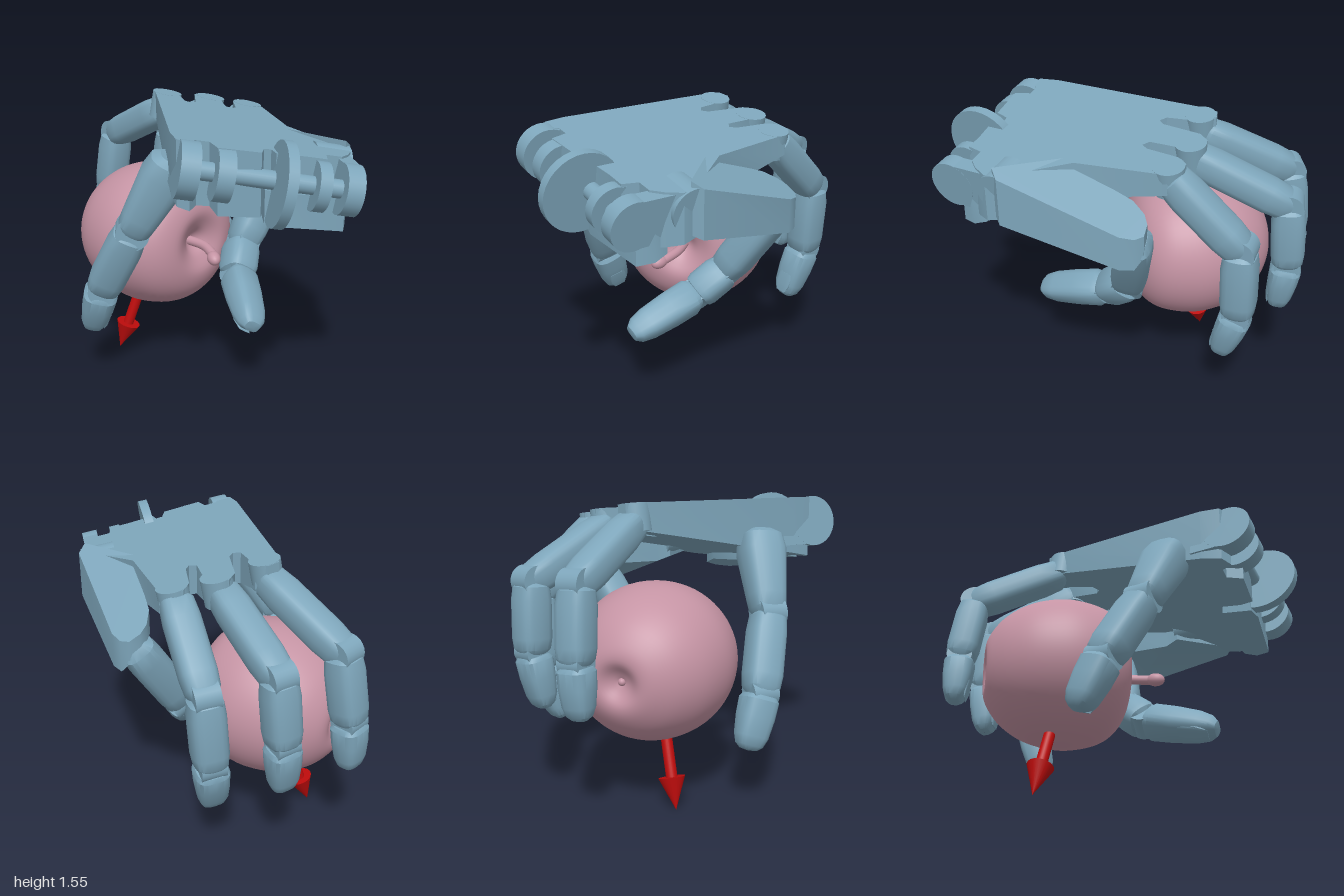
import * as THREE from 'three';
import { toCreasedNormals } from 'three/addons/utils/BufferGeometryUtils.js';

const V = (x, y, z) => new THREE.Vector3(x, y, z);
const handMat = new THREE.MeshStandardMaterial({ color: 0x7ea6bb });
const fruitMat = new THREE.MeshStandardMaterial({ color: 0xc594a4 });
const arrowMat = new THREE.MeshStandardMaterial({ color: 0xc00c0c });

function mesh(name, geo, mat = handMat) {
  const m = new THREE.Mesh(geo, mat);
  m.name = name;
  return m;
}

// Aim a mesh's +y axis along a direction
function aim(m, pos, dir) {
  m.position.copy(pos);
  m.quaternion.setFromUnitVectors(V(0, 1, 0), dir.clone().normalize());
  return m;
}

// Loft of rounded-rectangle rings from a to b; ring = [t, half width, half thickness]
function loft(a, b, side, rings, n = 20) {
  const T = b.clone().sub(a).normalize();
  const X = side.clone().addScaledVector(T, -side.dot(T)).normalize();
  const Y = T.clone().cross(X);
  const soft = v => Math.sign(v) * Math.abs(v) ** 0.65;
  const pos = [], idx = [];
  rings.forEach(([t, w, h], j) => {
    const c = a.clone().lerp(b, t);
    for (let i = 0; i < n; i++) {
      const q = (i / n) * Math.PI * 2;
      const p = c.clone().addScaledVector(X, w * soft(Math.cos(q))).addScaledVector(Y, h * soft(Math.sin(q)));
      pos.push(p.x, p.y, p.z);
      if (j < rings.length - 1) {
        const k = j * n + i, l = j * n + (i + 1) % n;
        idx.push(k, l, l + n, k, l + n, k + n);
      }
    }
  });
  const g = new THREE.BufferGeometry();
  g.setAttribute('position', new THREE.Float32BufferAttribute(pos, 3));
  g.setIndex(idx);
  return toCreasedNormals(g, 0.6);
}

const E = 0.001;
const limb = (w, h, base = 1) => [[0, E, E], [0, w * 0.6 * base, h * 0.6 * base], [0.07, w * 0.92 * base, h * 0.9 * base],
  [0.25, w * base, h * base], [0.8, w, h], [0.95, w * 0.92, h * 0.92], [1.04, w * 0.65, h * 0.65], [1.04, E, E]];
const tip = (w, h) => [[0, E, E], [0, w * 0.85, h * 0.85], [0.08, w, h], [0.4, w * 0.98, h * 0.95],
  [0.75, w * 0.88, h * 0.8], [0.92, w * 0.72, h * 0.6], [1, w * 0.45, h * 0.35], [1.02, E, E]];

// Jointed finger through four points: two phalanges, hinge pins, tip and nail
function finger(name, [p0, p1, p2, p3], w, { side, nailSign = 1, base = 1 } = {}) {
  const g = new THREE.Group();
  g.name = name;
  const ax = side || p1.clone().sub(p0).cross(p2.clone().sub(p1)).normalize();
  g.add(mesh('proximalPhalanx', loft(p0, p1, ax, limb(w, w * 0.98, base))));
  g.add(mesh('middlePhalanx', loft(p1, p2, ax, limb(w, w))));
  const tipStart = p2.clone().lerp(p3, 0.06);
  g.add(mesh('fingertip', loft(tipStart, p3, ax, tip(w * 0.97, w * 0.94))));
  for (const [p, r] of [[p1, 0.88], [p2, 0.78]]) {
    g.add(aim(mesh('hingePin', new THREE.CylinderGeometry(w * r, w * r, w * 1.4, 24)), p, ax));
  }
  const T = p3.clone().sub(p2).normalize();
  const X = ax.clone().addScaledVector(T, -ax.dot(T)).normalize();
  const out = T.clone().cross(X).multiplyScalar(nailSign);
  const shift = a => a.addScaledVector(out, w * 0.64);
  g.add(mesh('nail', loft(shift(p2.clone().lerp(p3, 0.55)), shift(p2.clone().lerp(p3, 0.94)), X,
    [[0, E, E], [0, w * 0.55, w * 0.22], [0.6, w * 0.55, w * 0.16], [1, w * 0.35, w * 0.02], [1, E, E]])));
  return g;
}

// Plate cut to a plan outline of [x, z], following sloped top and thickness rules
function plate(name, outline, top, thick) {
  const shape = new THREE.Shape(outline.map(([x, z]) => new THREE.Vector2(x, -z)));
  const geo = new THREE.ExtrudeGeometry(shape, { depth: 1, bevelEnabled: false });
  geo.rotateX(-Math.PI / 2);
  const p = geo.attributes.position;
  for (let i = 0; i < p.count; i++) {
    const x = p.getX(i), z = p.getZ(i);
    p.setY(i, top(x, z) - (p.getY(i) > 0.5 ? 0 : thick(x, z)));
  }
  return mesh(name, toCreasedNormals(geo, 0.6));
}

function createModel() {
  const root = new THREE.Group();
  const hand = new THREE.Group();
  hand.name = 'hand';
  root.add(hand);

  // Palm, with slots between the knuckles and shallow pockets along the wrist edge
  const palmTop = (x, z) => 1.5 - 0.13 * x - 0.13 * z;
  hand.add(plate('palm', [
    [-0.58, 0.25], [0.03, -0.41], [0.09, -0.455], [0.145, -0.43], [0.15, -0.36],
    [0.04, -0.2], [0.05, -0.16], [0.09, -0.165], [0.25, -0.31], [0.32, -0.325], [0.37, -0.28], [0.36, -0.22],
    [0.22, -0.06], [0.23, -0.02], [0.27, -0.03], [0.4, -0.15], [0.47, -0.17], [0.52, -0.12], [0.52, -0.06],
    [0.25, 0.33], [0.22, 0.7], [0.18, 0.76], [0.1, 0.79], [0.03, 0.8], [-0.03, 0.75], [-0.1, 0.8], [-0.17, 0.74],
    [-0.3, 0.65], [-0.27, 0.6], [-0.3, 0.58], [-0.37, 0.62], [-0.54, 0.5], [-0.5, 0.42], [-0.55, 0.38], [-0.62, 0.4], [-0.64, 0.34],
  ], palmTop, (x, z) => 0.19 - 0.18 * (0.67 * x - 0.74 * z) - 0.03 * (0.74 * x + 0.67 * z)));

  // Rounded knuckle caps
  for (const [x, z] of [[0.075, -0.375], [0.3, -0.25], [0.445, -0.095]]) {
    const cap = mesh('knuckleCap', new THREE.CylinderGeometry(0.08, 0.08, 0.14, 28));
    hand.add(aim(cap, V(x, palmTop(x, z) - 0.07, z), V(0.13, 1, 0.13)));
  }

  // Wrist lugs along the front edge: [x, z, radius, width]
  const across = V(0.74, -0.18, 0.67).normalize(), forward = V(0.67, 0, -0.74).normalize();
  const up = across.clone().cross(forward);
  const turn = new THREE.Quaternion().setFromRotationMatrix(new THREE.Matrix4().makeBasis(across, up, forward.clone().negate()));
  for (const [x, z, r, w] of [[-0.63, 0.39, 0.135, 0.09], [-0.51, 0.5, 0.125, 0.08], [-0.33, 0.7, 0.205, 0.05],
    [-0.15, 0.79, 0.12, 0.06], [-0.035, 0.88, 0.125, 0.085]]) {
    const lug = new THREE.Group();
    lug.name = 'wristLug';
    lug.position.set(x, palmTop(x, z) - 0.13, z);
    lug.quaternion.copy(turn);
    const disc = mesh('lugDisc', new THREE.CylinderGeometry(r, r, w, 32));
    disc.rotation.z = Math.PI / 2;
    const arm = mesh('lugArm', new THREE.BoxGeometry(w * 0.98, Math.min(r * 1.9, 0.25), 0.2));
    arm.position.z = -0.1;
    lug.add(disc, arm);
    hand.add(lug);
  }
  const pin = mesh('wristPin', new THREE.CylinderGeometry(0.045, 0.045, 0.76, 24));
  hand.add(aim(pin, V(-0.335, 1.335, 0.635), across));

  // Wedge under the wrist, rising towards the palm, and the round boss beside it
  hand.add(plate('wristWedge', [[-0.34, 0.62], [-0.22, 0.5], [0, 0.6], [0.1, 0.76], [0.06, 0.82], [-0.02, 0.86], [-0.3, 0.68]],
    (x, z) => palmTop(x, z) - 0.18, (x, z) => 0.17 - 0.3 * Math.max(0, 0.67 * x - 0.74 * z + 0.62)));
  hand.add(aim(mesh('wristBoss', new THREE.CylinderGeometry(0.115, 0.115, 0.18, 32)), V(0.15, 1.29, 0.65), across));

  // Thumb base with a slanted far end, and its hinge
  hand.add(plate('thumbBase', [
    [0.19, 0.36], [0.25, 0.31], [0.43, 0.08], [0.5, 0.04], [0.55, 0.04], [0.6, 0.07], [0.61, 0.12], [0.59, 0.19], [0.26, 0.71], [0.2, 0.72],
  ], x => 1.39 - 0.62 * (x - 0.25), (x, z) => Math.min(0.25 - 0.2 * (x - 0.25), 0.05 + z)));
  hand.add(aim(mesh('thumbHinge', new THREE.CylinderGeometry(0.09, 0.09, 0.3, 24)), V(0.19, 1.28, 0.5), V(0.3, -0.1, -0.55)));

  // Thumb and four fingers
  hand.add(finger('thumb', [V(0.545, 1.13, 0.1), V(0.24, 0.69, 0.05), V(0.1, 0.57, 0.13), V(-0.18, 0.45, 0.45)], 0.098));
  hand.add(finger('innerFinger', [V(0.44, 1.4, -0.09), V(0.635, 1.05, -0.41), V(0.615, 0.66, -0.43), V(0.53, 0.37, -0.38)], 0.092, { nailSign: -1 }));
  hand.add(finger('middleFinger', [V(0.28, 1.42, -0.24), V(0.485, 1.18, -0.715), V(0.475, 0.83, -0.745), V(0.43, 0.545, -0.73)], 0.088, { nailSign: -1 }));
  hand.add(finger('outerFinger', [V(0.08, 1.45, -0.37), V(0.155, 1.21, -0.86), V(0.14, 0.85, -0.915), V(0.12, 0.58, -0.93)], 0.088, { nailSign: -1 }));
  hand.add(finger('sideFinger', [V(-0.42, 1.36, 0.13), V(-0.535, 0.97, -0.06), V(-0.565, 0.6, -0.27), V(-0.54, 0.33, -0.39)],
    0.098, { side: V(0.7, 0, -0.7), base: 1.25 }));

  // Fruit lying on its side, narrower at the back, dimpled at both ends, with a stem
  const profile = new THREE.SplineCurve([[0, -0.335], [0.05, -0.355], [0.12, -0.39], [0.2, -0.37], [0.3, -0.295], [0.38, -0.175],
    [0.42, -0.03], [0.42, 0.1], [0.38, 0.24], [0.3, 0.33], [0.19, 0.37], [0.1, 0.34], [0.04, 0.295], [0, 0.28]]
    .map(([r, h]) => new THREE.Vector2(r, h))).getPoints(60);
  profile.forEach(p => { p.x = Math.max(0, p.x); });
  const fruit = mesh('fruit', new THREE.LatheGeometry(profile, 64), fruitMat);
  fruit.scale.set(1, 1, 0.96);
  root.add(aim(fruit, V(-0.02, 0.74, -0.4), V(-0.03, 0.04, 1)));
  const stem = new THREE.CatmullRomCurve3([V(-0.03, 0.75, -0.16), V(-0.04, 0.75, 0), V(-0.08, 0.74, 0.09), V(-0.12, 0.73, 0.15)]);
  root.add(mesh('stem', new THREE.TubeGeometry(stem, 20, 0.026, 14), fruitMat));
  const knob = mesh('stemEnd', new THREE.SphereGeometry(0.036, 20, 14), fruitMat);
  knob.scale.y = 1.4;
  root.add(aim(knob, V(-0.112, 0.732, 0.13), V(-0.04, -0.01, 0.06)));
  const calyx = mesh('calyx', new THREE.SphereGeometry(0.02, 16, 10), fruitMat);
  calyx.position.set(-0.01, 0.727, -0.74);
  root.add(calyx);

  // Arrow pointing down out of the fruit
  const end = V(-0.205, 0, -0.53), start = V(-0.02, 0.74, -0.35);
  const dir = end.clone().sub(start).normalize();
  const arrow = new THREE.Group();
  arrow.name = 'arrow';
  const shaftLen = end.distanceTo(start) - 0.16;
  arrow.add(aim(mesh('arrowShaft', new THREE.CylinderGeometry(0.03, 0.03, shaftLen, 24), arrowMat),
    start.clone().addScaledVector(dir, shaftLen / 2), dir));
  arrow.add(aim(mesh('arrowHead', new THREE.ConeGeometry(0.07, 0.17, 24), arrowMat), end.clone().addScaledVector(dir, -0.085), dir));
  root.add(arrow);

  return root;
}

export { createModel };
